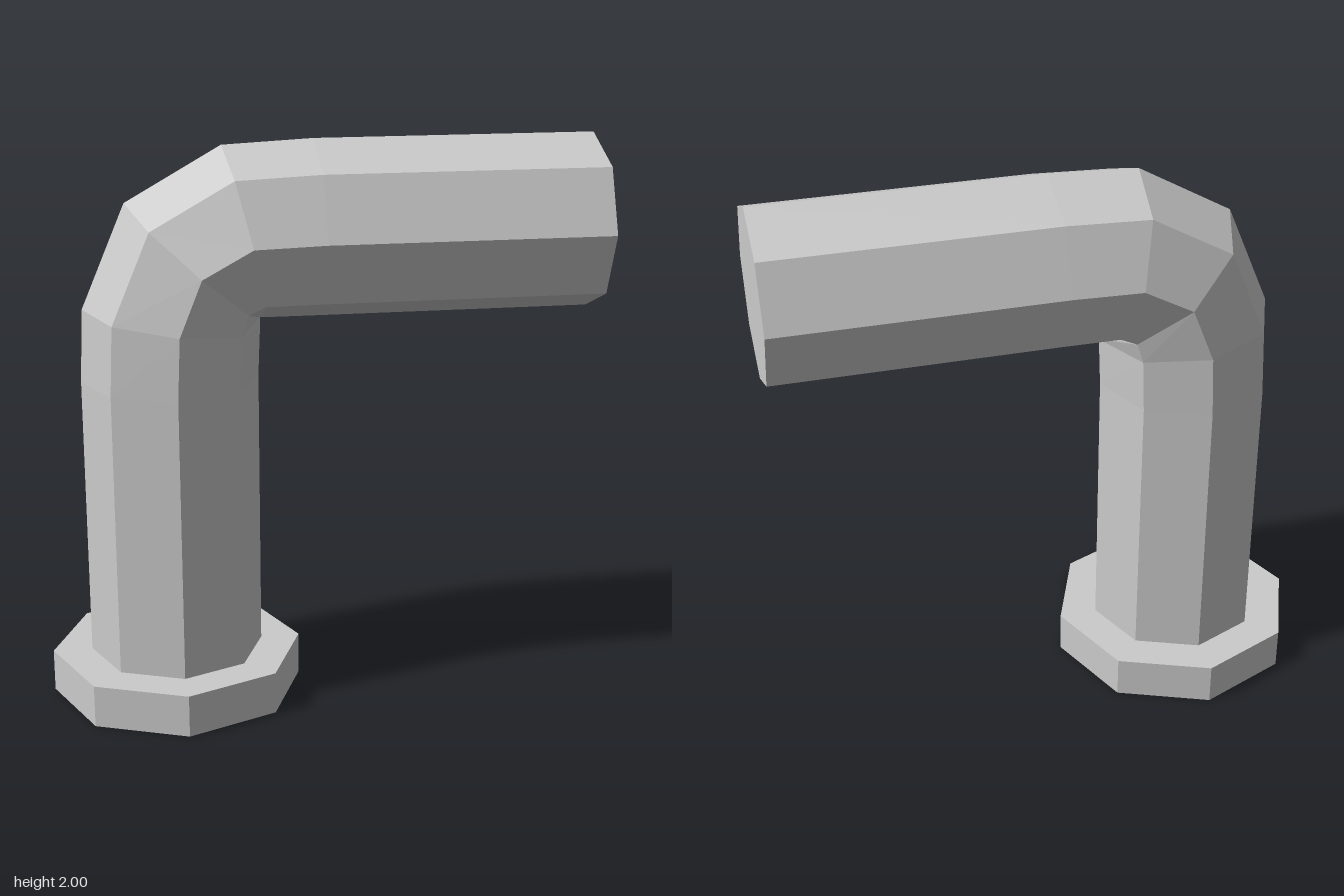
import * as THREE from 'three';

const SIDES = 8;
const material = new THREE.MeshStandardMaterial({ color: 0xcccccc, flatShading: true });

// Sweep an octagon through rings [x, y, tilt in degrees], all centred on z = 0
function sweep(rings, radius) {
  const positions = [], index = [];
  for (const [x, y, tilt] of rings) {
    const t = THREE.MathUtils.degToRad(tilt);
    for (let i = 0; i < SIDES; i++) {
      const a = (i / SIDES) * Math.PI * 2;
      const out = Math.cos(a) * radius;
      positions.push(x - out * Math.cos(t), y + out * Math.sin(t), Math.sin(a) * radius);
    }
  }
  for (let r = 0; r < rings.length - 1; r++) {
    for (let i = 0; i < SIDES; i++) {
      const a = r * SIDES + i, b = r * SIDES + (i + 1) % SIDES;
      index.push(a, b, b + SIDES, a, b + SIDES, a + SIDES);
    }
  }
  // Flat caps at both ends
  const last = (rings.length - 1) * SIDES;
  for (let i = 1; i < SIDES - 1; i++) {
    index.push(0, i + 1, i, last, last + i, last + i + 1);
  }
  const geometry = new THREE.BufferGeometry();
  geometry.setAttribute('position', new THREE.Float32BufferAttribute(positions, 3));
  geometry.setIndex(index);
  const flat = geometry.toNonIndexed();
  flat.computeVertexNormals();
  return flat;
}

export function createModel() {
  const group = new THREE.Group();
  group.name = 'elbowPipe';

  // Upright, bend and horizontal arm in one sweep
  const pipe = new THREE.Mesh(sweep([
    [-0.53, 0.15, 0],
    [-0.53, 1.17, 0],
    [-0.52, 1.39, 7],
    [-0.442, 1.585, 42],
    [-0.268, 1.68, 77],
    [-0.02, 1.6875, 90],
    [0.98, 1.6875, 90],
  ], 0.3125), material);
  pipe.name = 'pipe';
  group.add(pipe);

  // Wide collar at the foot, corners on the x and z axes
  const flange = new THREE.Mesh(new THREE.CylinderGeometry(0.453, 0.453, 0.153, SIDES), material);
  flange.name = 'baseFlange';
  flange.position.set(-0.53, 0.0765, 0);
  group.add(flange);

  return group;
}
